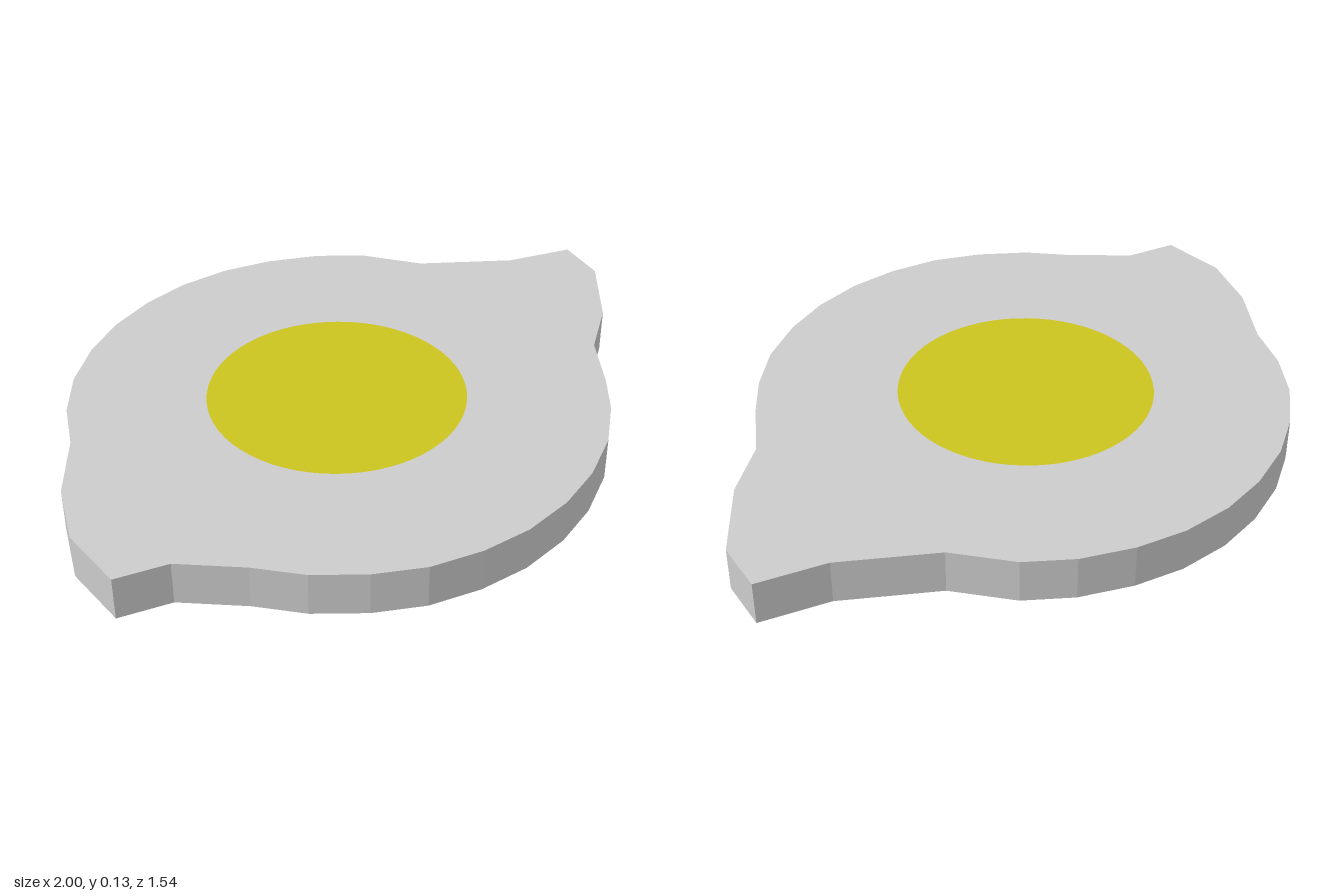
import * as THREE from 'three';

export function createModel() {
  const grey = new THREE.MeshStandardMaterial({ color: 0xcccccc });
  grey.name = 'light grey';
  const yellow = new THREE.MeshStandardMaterial({ color: 0xccc41f });
  yellow.name = 'yellow';

  const height = 0.13, cx = -0.08, cz = -0.01, radius = 0.37, sides = 64;
  const model = new THREE.Group();
  model.name = 'disc';

  // Outline seen from above, as x and z: round body with two swept points
  const outline = [
    [1, -0.15], [0.97, 0], [0.81, 0.185], [0.66, 0.29], [0.555, 0.435],
    [0.465, 0.54], [0.35, 0.637], [0.21, 0.71], [0.07, 0.752], [-0.08, 0.767],
    [-0.225, 0.752], [-0.37, 0.71], [-0.5, 0.637], [-0.62, 0.54], [-0.715, 0.425],
    [-0.855, 0.29], [-1, 0.245], [-0.995, 0.045], [-0.915, -0.13], [-0.785, -0.295],
    [-0.715, -0.43], [-0.62, -0.547], [-0.5, -0.643], [-0.37, -0.712], [-0.225, -0.755],
    [-0.08, -0.77], [0.07, -0.755], [0.21, -0.712], [0.35, -0.64], [0.465, -0.547],
    [0.575, -0.39], [0.81, -0.22],
  ];
  const shape = new THREE.Shape(outline.map(([x, z]) => new THREE.Vector2(x, -z)));

  // Round opening for the centre
  const circle = [];
  for (let i = 0; i < sides; i++) {
    const a = (i / sides) * Math.PI * 2;
    circle.push(new THREE.Vector2(cx + radius * Math.sin(a), -cz - radius * Math.cos(a)));
  }
  shape.holes.push(new THREE.Path(circle));

  const bodyGeometry = new THREE.ExtrudeGeometry(shape, { depth: height, bevelEnabled: false });
  bodyGeometry.rotateX(-Math.PI / 2);
  const body = new THREE.Mesh(bodyGeometry, grey);
  body.name = 'body';

  // Centre disc, flush with both faces
  const centre = new THREE.Mesh(new THREE.CylinderGeometry(radius, radius, height, sides), yellow);
  centre.name = 'centre';
  centre.position.set(cx, height / 2, cz);

  model.add(body, centre);
  return model;
}
